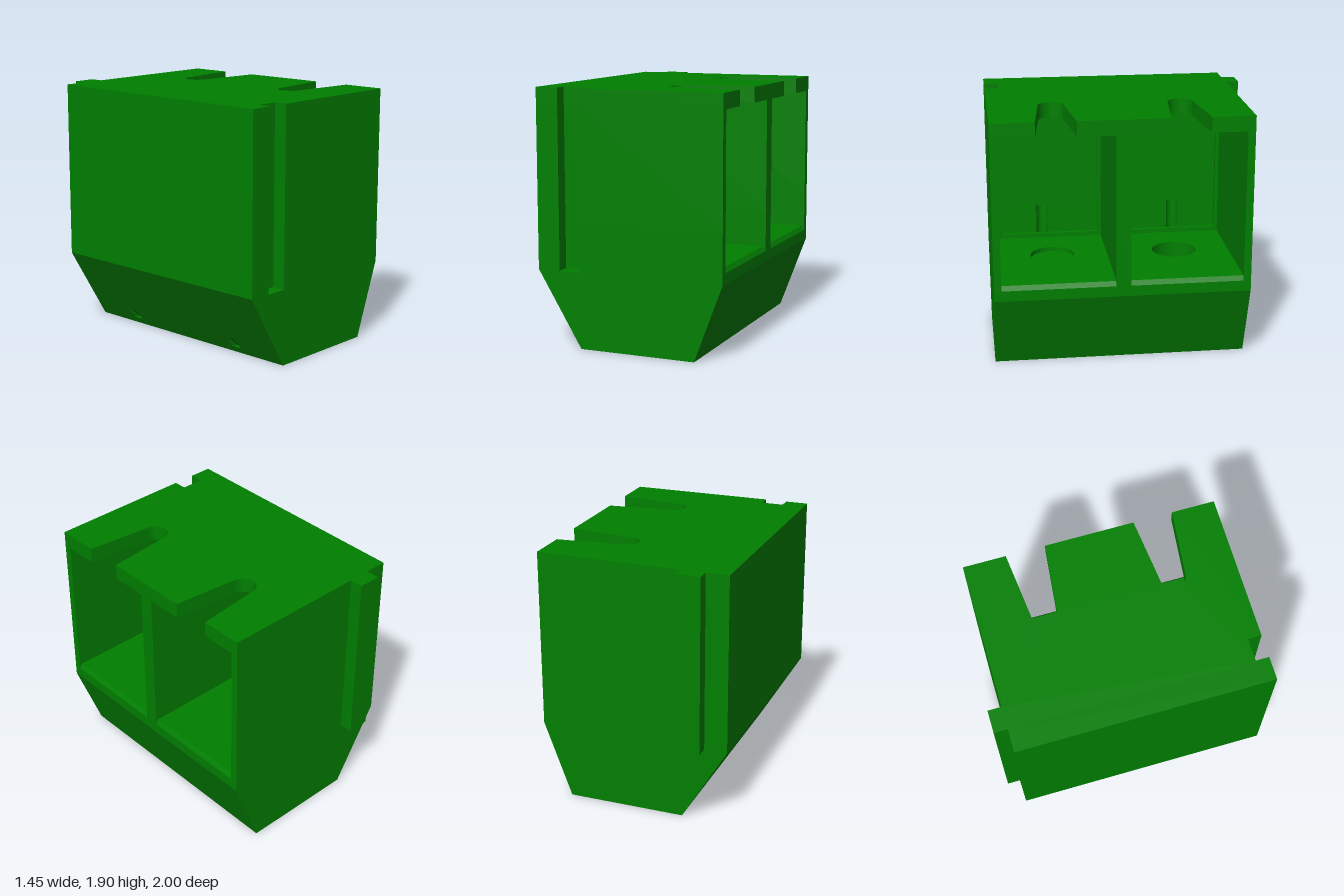
import * as THREE from 'three';

const CHAMBERS = [-0.425, 0.525]; // z centre of each chamber
const HALF = 0.42;                // half chamber width
const BACK = -0.35;               // chamber back wall
const SIDE = 0.723;               // half body width
const TOP = 1.905;

// Points of a half circle bulging towards -x
function halfRound(x, z, r, n = 10) {
  return Array.from({ length: n + 1 }, (_, i) => {
    const a = (Math.PI * i) / n;
    return [x - r * Math.sin(a), z - r * Math.cos(a)];
  });
}

// Closed body outline in [x, z]: groove at the front, tongue at the back, custom right edge
function outline(edge) {
  return [
    [SIDE, 1], [-0.38, 1], [-0.38, 0.9], [-0.55, 0.9], [-0.55, 1], [-SIDE, 1],
    [-SIDE, -0.9], [-0.55, -0.9], [-0.55, -1], [-0.38, -1], [-0.38, -0.9], [SIDE, -0.9],
    ...edge,
  ];
}

const circle = (x, z, r) => new THREE.Path().absarc(x, -z, r, 0, Math.PI * 2, true);
// Reversed so that outlines run counter-clockwise and hole walls face inwards
const toPoints = (pts) => pts.map(([x, z]) => new THREE.Vector2(x, -z)).reverse();

// Horizontal layer between two heights, from an [x, z] outline
function layer(pts, y0, y1, holes = []) {
  const shape = new THREE.Shape(toPoints(pts));
  shape.holes.push(...holes);
  const g = new THREE.ExtrudeGeometry(shape, { depth: y1 - y0, bevelEnabled: false, curveSegments: 36 });
  return g.rotateX(-Math.PI / 2).translate(0, y0, 0);
}

// Move every vertex by a rule, then refresh the normals
function reshape(g, rule) {
  const p = g.attributes.position;
  const v = new THREE.Vector3();
  for (let i = 0; i < p.count; i++) {
    rule(v.fromBufferAttribute(p, i));
    p.setXYZ(i, v.x, v.y, v.z);
  }
  g.computeVertexNormals();
  return g;
}

export function createModel() {
  const group = new THREE.Group();
  const green = new THREE.MeshStandardMaterial({ color: 0x008000 });
  green.name = 'green';
  const add = (name, geometry) => {
    const mesh = new THREE.Mesh(geometry, green);
    mesh.name = name;
    group.add(mesh);
  };

  // Tapered base with two round sockets, a shallow slot and small drain ports in the left slope
  const taper = (v) => {
    const t = v.y / 0.57;
    if (v.x < -0.32) {
      const inset = v.y < 0.1 ? v.x + 0.38 : 0; // ports fade out upwards
      v.x = -0.38 + inset - (SIDE - 0.38) * t;
    } else if (v.x > 0.5) v.x = 0.51 + (SIDE - 0.51) * t;
  };
  const sockets = () => CHAMBERS.map((c) => circle(0.085, c, 0.33));
  const slot = () => new THREE.Path(toPoints([[-0.3, 0.01], [0.4, 0.01], [0.4, 0.1], [-0.3, 0.1]]));
  const port = (z) => [[-0.38, z + 0.04], [-0.345, z + 0.025], [-0.345, z - 0.025], [-0.38, z - 0.04]];
  const foot = (ports) => [[0.51, 1], [-0.38, 1], ...ports, [-0.38, -0.9], [0.51, -0.9]];
  add('baseBottom', reshape(layer(foot([]), 0, 0.05, [...sockets(), slot()]), taper));
  add('basePorts', reshape(
    layer(foot([...port(0.575), ...port(-0.475)]), 0.05, 0.13, [...sockets(), slot()]), taper));
  add('baseTaper', reshape(layer(foot([]), 0.13, 0.57, sockets()), taper));

  // Slab under the chambers, pierced below the rear chamber only
  add('floorSlab', layer(outline([]), 0.57, 0.65, [circle(0.085, CHAMBERS[0], 0.17)]));

  // Walls round both chambers, with a drain groove in the lower back wall
  const walls = (grooved) => outline(CHAMBERS.flatMap((c) => [
    [SIDE, c - HALF], [BACK, c - HALF],
    ...(grooved ? halfRound(BACK, c + 0.05 * Math.sign(c), 0.045) : []),
    [BACK, c + HALF], [SIDE, c + HALF],
  ]));
  add('lowerWalls', layer(walls(true), 0.65, 0.95));
  add('upperWalls', layer(walls(false), 0.95, 1.79));

  for (const c of CHAMBERS) {
    // Chamber floor with a chamfered lip
    const floor = layer(
      [[SIDE, c + HALF], [BACK, c + HALF], [BACK, c - HALF], [SIDE, c - HALF]],
      0.65, 0.685, [circle(0.085, c, 0.17)]);
    add('chamberFloor', reshape(floor, (v) => { if (v.x > 0.7 && v.y > 0.67) v.x = 0.703; }));

    // Flat trim with rounded inner corners round the chamber back wall
    const trim = new THREE.Shape([[-HALF, 0.685], [HALF, 0.685], [HALF, 1.79], [-HALF, 1.79]]
      .map(([a, b]) => new THREE.Vector2(a, b)));
    const hole = new THREE.Path();
    const [w, b, t, r] = [0.393, 0.72, 1.77, 0.03];
    hole.absarc(w - r, t - r, r, 0, Math.PI / 2);
    hole.absarc(-w + r, t - r, r, Math.PI / 2, Math.PI);
    hole.absarc(-w + r, b + r, r, Math.PI, Math.PI * 1.5);
    hole.absarc(w - r, b + r, r, Math.PI * 1.5, Math.PI * 2);
    trim.holes.push(hole);
    const g = new THREE.ExtrudeGeometry(trim, { depth: 0.03, bevelEnabled: false, curveSegments: 5 });
    add('chamberTrim', g.rotateY(Math.PI / 2).translate(BACK, 0, c));
  }

  // Top plate with two flared slots open to the side
  add('topPlate', layer(outline([-0.433, 0.531].flatMap((z) => [
    [SIDE, z - 0.147], ...halfRound(0.23, z, 0.095, 16), [SIDE, z + 0.147],
  ])), 1.79, TOP));

  return group;
}
